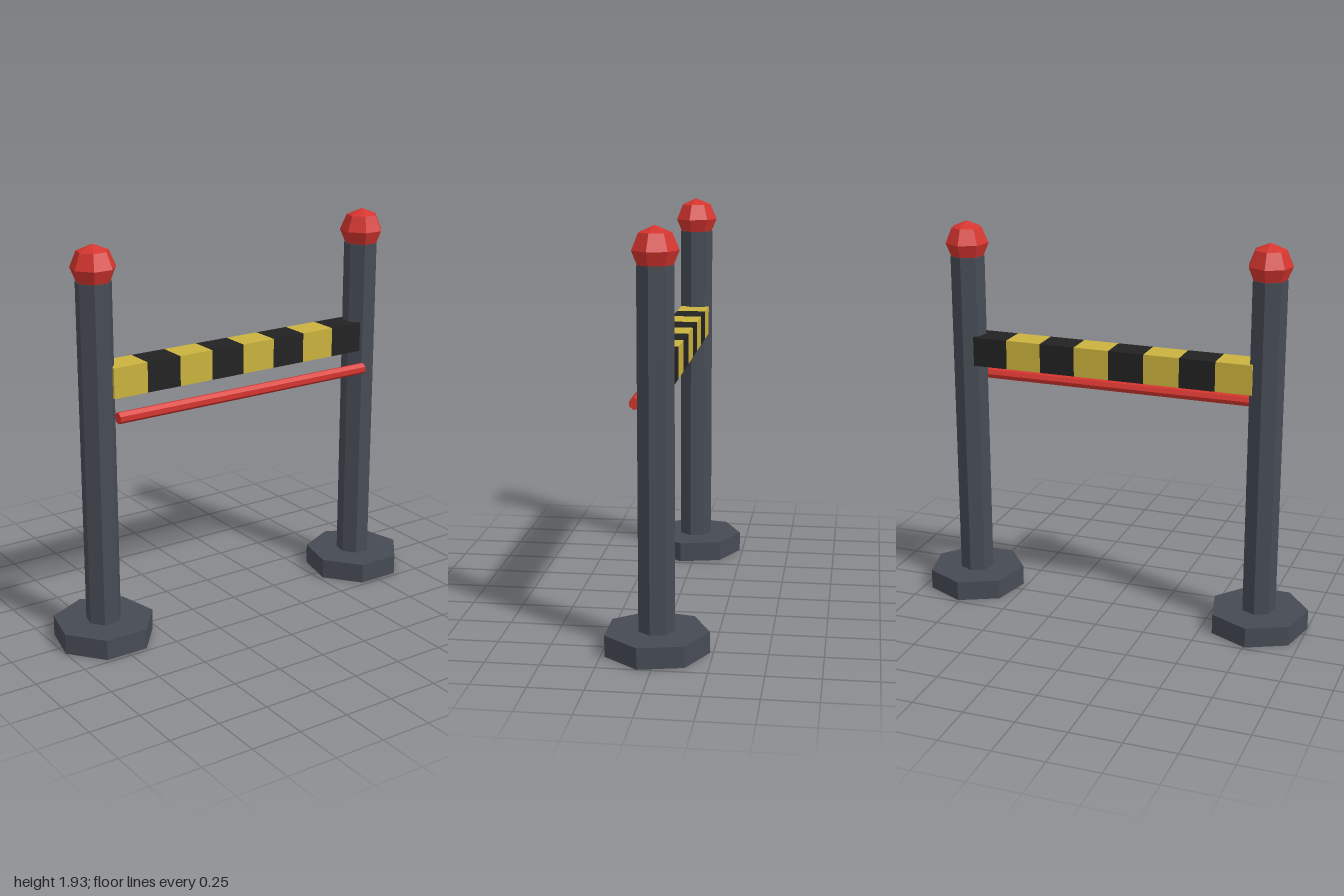
import * as THREE from 'three';

const SIDES = 7;
const CZ = 0.01; // shared depth of posts and beam

function material(name, color) {
  const m = new THREE.MeshStandardMaterial({ color, flatShading: true });
  m.name = name;
  return m;
}

// Seven-sided prism with one corner pointing to the back
function prism(radius, height) {
  return new THREE.CylinderGeometry(radius, radius, height, SIDES, 1, false, Math.PI);
}

export function createModel() {
  const slate = material('slate grey', 0x464b54);
  const red = material('signal red', 0xd5352f);
  const yellow = material('warning yellow', 0xcbb23e);
  const black = material('black', 0x222222);

  const model = new THREE.Group();
  model.name = 'barrier';

  function add(parent, name, geometry, mat, x, y, z) {
    const mesh = new THREE.Mesh(geometry, mat);
    mesh.name = name;
    mesh.position.set(x, y, z);
    parent.add(mesh);
  }

  // Two posts, each with a foot and a round cap
  for (const side of [-1, 1]) {
    const post = new THREE.Group();
    post.name = side > 0 ? 'leftPost' : 'rightPost';
    post.position.set(side * 0.761, 0, CZ);
    add(post, 'foot', prism(0.245, 0.1), slate, 0, 0.05, 0);
    add(post, 'shaft', prism(0.085, 1.7), slate, 0, 0.907, 0);
    add(post, 'cap', new THREE.SphereGeometry(0.107, SIDES, 4, -Math.PI / 2), red, 0, 1.82, 0);
    model.add(post);
  }

  // Striped beam made of eight blocks
  const beam = new THREE.Group();
  beam.name = 'stripedBeam';
  const count = 8, length = 1.42, step = length / count;
  for (let i = 0; i < count; i++) {
    add(beam, 'beamStripe', new THREE.BoxGeometry(step, 0.146, 0.146),
      i % 2 ? black : yellow, -length / 2 + step * (i + 0.5), 1.288, CZ);
  }
  model.add(beam);

  // Thin rail in front, below the beam
  add(model, 'rail', prism(0.028, length).rotateZ(Math.PI / 2), red, 0, 1.131, 0.11);

  return model;
}
